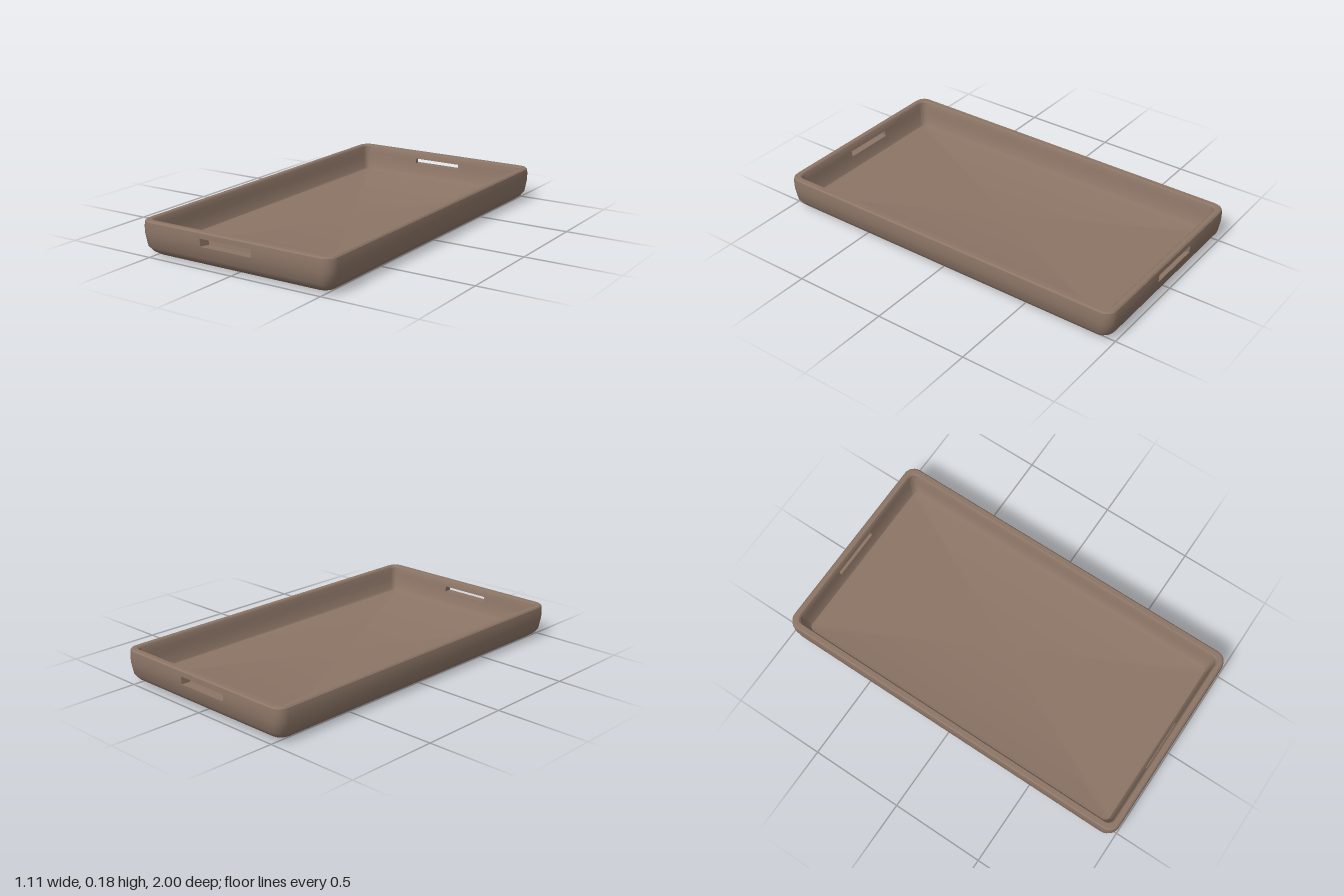
import * as THREE from 'three';
import { toCreasedNormals } from 'three/addons/utils/BufferGeometryUtils.js';

// Wall profile, from the underside up the outside, over the rim and down the inside:
// [half width x, half length z, height y, corner radius, slot left x, slot right x]
const OUT = [-0.18, 0.12];
const IN = [-0.165, 0.115];
const PROFILE = [
  [0.47, 0.91, 0.0, 0.04, ...OUT],
  [0.505, 0.945, 0.007, 0.05, ...OUT],
  [0.53, 0.972, 0.025, 0.055, ...OUT],
  [0.547, 0.99, 0.05, 0.06, ...OUT],
  [0.555, 0.999, 0.11, 0.06, ...OUT],
  [0.556, 1.0, 0.15, 0.06, ...OUT],
  [0.553, 0.997, 0.174, 0.058, ...OUT],
  [0.546, 0.99, 0.181, 0.052, ...OUT],
  [0.523, 0.967, 0.181, 0.035, ...IN],
  [0.517, 0.961, 0.174, 0.035, ...IN],
  [0.512, 0.956, 0.14, 0.035, ...IN],
  [0.506, 0.95, 0.11, 0.035, ...IN],
  [0.497, 0.94, 0.06, 0.035, ...IN],
  [0.488, 0.931, 0.045, 0.03, ...IN],
  [0.47, 0.913, 0.04, 0.025, ...IN],
];
const OUTER_SLOT = 4;   // profile step where the slot opens outside
const INNER_SLOT = 10;  // and inside
const ARC = 6;          // segments per rounded corner

// Rounded rectangle with extra points at the slot edges of both end walls
function ring([hx, hz, y, r, slotL, slotR]) {
  const pts = [];
  const arc = (sx, sz, start) => {
    for (let k = 0; k <= ARC; k++) {
      const t = start + (k / ARC) * Math.PI / 2;
      pts.push([sx * (hx - r) + r * Math.sin(t), y, sz * (hz - r) + r * Math.cos(t)]);
    }
  };
  arc(-1, 1, -Math.PI / 2);
  pts.push([slotL, y, hz], [slotR, y, hz]);
  arc(1, 1, 0);
  arc(1, -1, Math.PI / 2);
  pts.push([slotR, y, -hz], [slotL, y, -hz]);
  arc(-1, -1, Math.PI);
  return pts;
}

function trayGeometry() {
  const rings = PROFILE.map(ring);
  const n = rings[0].length;
  const slots = [ARC + 1, 3 * ARC + 5]; // columns of the front and back slots
  const pos = [];
  const tri = (a, b, c) => pos.push(...a, ...b, ...c);
  const quad = (a, b, c, d) => { tri(a, b, c); tri(a, c, d); };

  // Walls, leaving the slots open
  for (let j = 0; j < rings.length - 1; j++) {
    for (let i = 0; i < n; i++) {
      if (slots.includes(i) && (j === OUTER_SLOT || j === INNER_SLOT)) continue;
      const k = (i + 1) % n;
      quad(rings[j][i], rings[j][k], rings[j + 1][k], rings[j + 1][i]);
    }
  }

  // Underside and inner floor
  const last = rings[rings.length - 1];
  for (let i = 0; i < n; i++) {
    const k = (i + 1) % n;
    tri([0, PROFILE[0][2], 0], rings[0][k], rings[0][i]);
    tri([0, last[0][1], 0], last[i], last[k]);
  }

  // Tapered slot linings
  for (const i of slots) {
    const corners = (low, high) => [rings[low][i], rings[low][i + 1], rings[high][i + 1], rings[high][i]];
    const o = corners(OUTER_SLOT, OUTER_SLOT + 1);
    const p = corners(INNER_SLOT + 1, INNER_SLOT);
    for (let s = 0; s < 4; s++) {
      const e = (s + 1) % 4;
      quad(o[s], o[e], p[e], p[s]);
    }
  }

  const geo = new THREE.BufferGeometry();
  geo.setAttribute('position', new THREE.Float32BufferAttribute(pos, 3));
  return toCreasedNormals(geo, 0.6);
}

export function createModel() {
  const group = new THREE.Group();
  group.name = 'slottedTray';
  const brown = new THREE.MeshStandardMaterial({ color: 0x8c7566 });
  brown.name = 'brown';
  const tray = new THREE.Mesh(trayGeometry(), brown);
  tray.name = 'trayShell';
  group.add(tray);
  return group;
}
